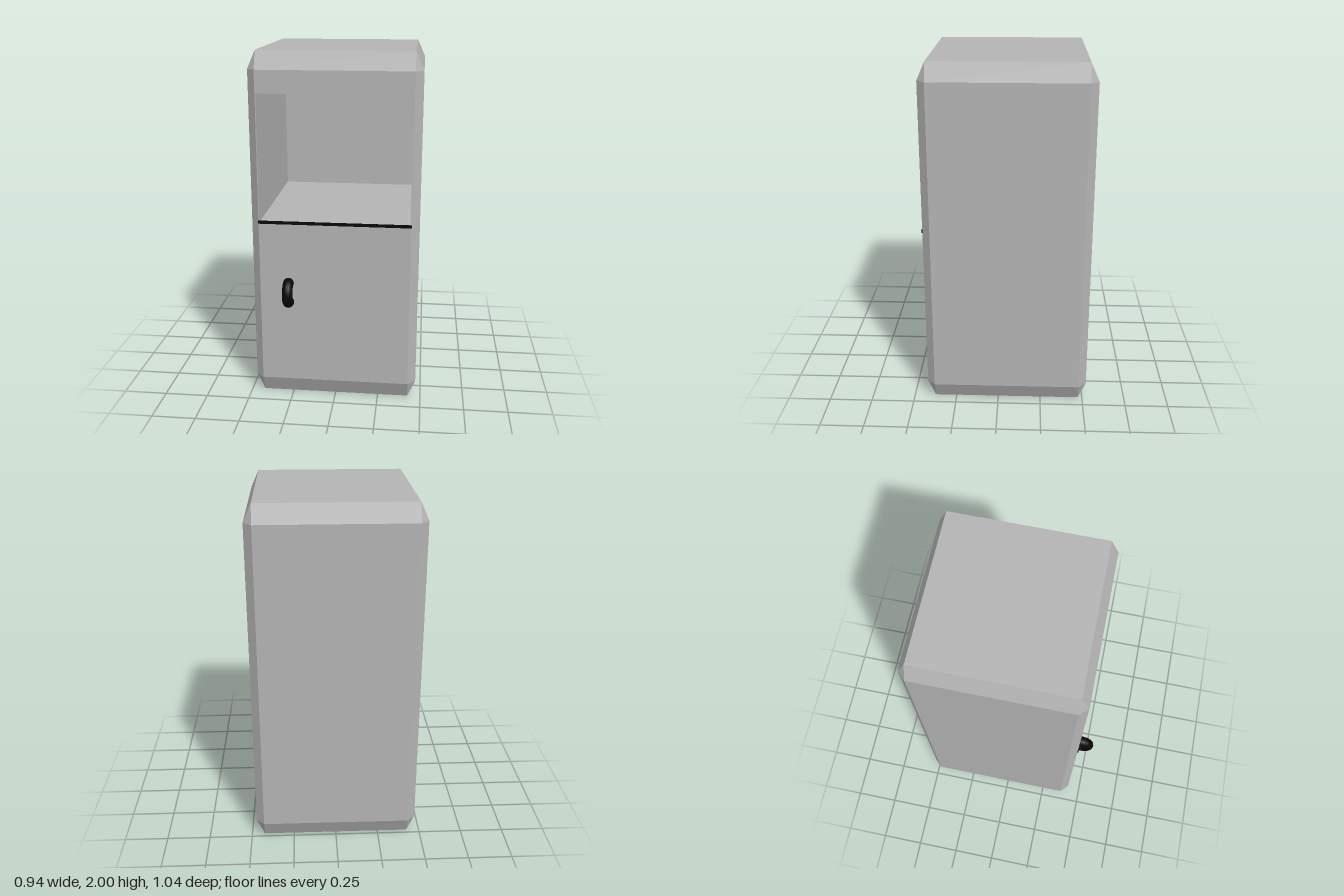
import * as THREE from 'three';

const MID_Z = -0.05;
const HALF = [0.47, 1, 0.47]; // half sizes of the casing
const CUT = [0.045, 0.1, 0.045]; // chamfer along each axis

// Flat mesh from convex loops, each turned away from (side 1) or towards (side -1) a centre
function facesMesh(name, loops, material, centre, side) {
  const pos = [];
  for (const loop of loops) {
    const mid = loop.reduce((s, p) => s.add(p), new THREE.Vector3()).divideScalar(loop.length);
    const n = new THREE.Vector3().subVectors(loop[1], loop[0])
      .cross(new THREE.Vector3().subVectors(loop[2], loop[0]));
    const l = n.dot(mid.sub(centre)) * side < 0 ? [...loop].reverse() : loop;
    for (let i = 1; i < l.length - 1; i++) {
      for (const p of [l[0], l[i], l[i + 1]]) pos.push(p.x, p.y, p.z);
    }
  }
  const geo = new THREE.BufferGeometry();
  geo.setAttribute('position', new THREE.Float32BufferAttribute(pos, 3));
  geo.computeVertexNormals();
  const mesh = new THREE.Mesh(geo, material);
  mesh.name = name;
  return mesh;
}

// Casing corner lying on the main face of the given axis
function corner(signs, axis) {
  const c = signs.map((s, i) => s * (HALF[i] - (i === axis ? 0 : CUT[i])));
  return new THREE.Vector3(c[0], c[1] + 1, c[2] + MID_Z);
}

export function createModel() {
  const group = new THREE.Group();
  const grey = new THREE.MeshStandardMaterial({ color: 0xb4b4b4 });
  grey.name = 'casing grey';
  const black = new THREE.MeshStandardMaterial({ color: 0x080808 });
  black.name = 'trim black';

  // Chamfered casing, with the front face left out
  const loops = [];
  const put = (values, axes) => {
    const s = [0, 0, 0];
    axes.forEach((a, i) => { s[a] = values[i]; });
    return s;
  };
  for (let a = 0; a < 3; a++) {
    const b = (a + 1) % 3, c = (a + 2) % 3;
    for (const s of [-1, 1]) {
      if (!(a === 2 && s === 1)) {
        loops.push([[-1, -1], [1, -1], [1, 1], [-1, 1]]
          .map(([u, v]) => corner(put([s, u, v], [a, b, c]), a)));
      }
      for (const t of [-1, 1]) { // edge chamfers between faces a and b
        const lo = put([s, t, -1], [a, b, c]), hi = put([s, t, 1], [a, b, c]);
        loops.push([corner(lo, a), corner(hi, a), corner(hi, b), corner(lo, b)]);
      }
    }
  }
  for (let i = 0; i < 8; i++) { // corner triangles
    const s = [i & 1 ? 1 : -1, i & 2 ? 1 : -1, i & 4 ? 1 : -1];
    loops.push([corner(s, 0), corner(s, 1), corner(s, 2)]);
  }
  group.add(facesMesh('casing', loops, grey, new THREE.Vector3(0, 1, MID_Z), 1));

  // Front face with the opening cut out
  const W = 0.42, Y0 = 1.06, Y1 = 1.775, FRONT = 0.42, BACK = -0.5;
  const rect = (path, w, y0, y1) =>
    path.moveTo(-w, y0).lineTo(w, y0).lineTo(w, y1).lineTo(-w, y1).closePath();
  const shape = rect(new THREE.Shape(), 0.425, 0.1, 1.9);
  shape.holes.push(rect(new THREE.Path(), W, Y0, Y1));
  const front = new THREE.Mesh(new THREE.ShapeGeometry(shape), grey);
  front.name = 'frontPanel';
  front.position.z = FRONT;
  group.add(front);

  // Open compartment: four walls and the back
  const ring = (z) => [[-W, Y0], [W, Y0], [W, Y1], [-W, Y1]].map(([x, y]) => new THREE.Vector3(x, y, z));
  const near = ring(FRONT), far = ring(BACK);
  const walls = near.map((p, i) => [p, near[(i + 1) % 4], far[(i + 1) % 4], far[i]]);
  group.add(facesMesh('compartment', [...walls, far], grey,
    new THREE.Vector3(0, (Y0 + Y1) / 2, (FRONT + BACK) / 2), -1));

  // Dark strip along the shelf edge
  const strip = new THREE.Mesh(new THREE.BoxGeometry(0.855, 0.016, 0.009), black);
  strip.name = 'shelfStrip';
  strip.position.set(0, 1.061, 0.4205);
  group.add(strip);

  // Half-ring door handle with closed ends
  const handle = new THREE.Group();
  handle.name = 'doorHandle';
  const R = 0.058, r = 0.03;
  const grip = new THREE.Mesh(
    new THREE.TorusGeometry(R, r, 16, 24, Math.PI).rotateZ(-Math.PI / 2).rotateY(-Math.PI / 2), black);
  grip.name = 'handleGrip';
  handle.add(grip);
  for (const s of [-1, 1]) {
    const cap = new THREE.Mesh(new THREE.CircleGeometry(r, 16).rotateY(Math.PI), black);
    cap.name = 'handleEnd';
    cap.position.y = s * R;
    handle.add(cap);
  }
  handle.position.set(-0.26, 0.652, 0.432);
  group.add(handle);

  return group;
}
